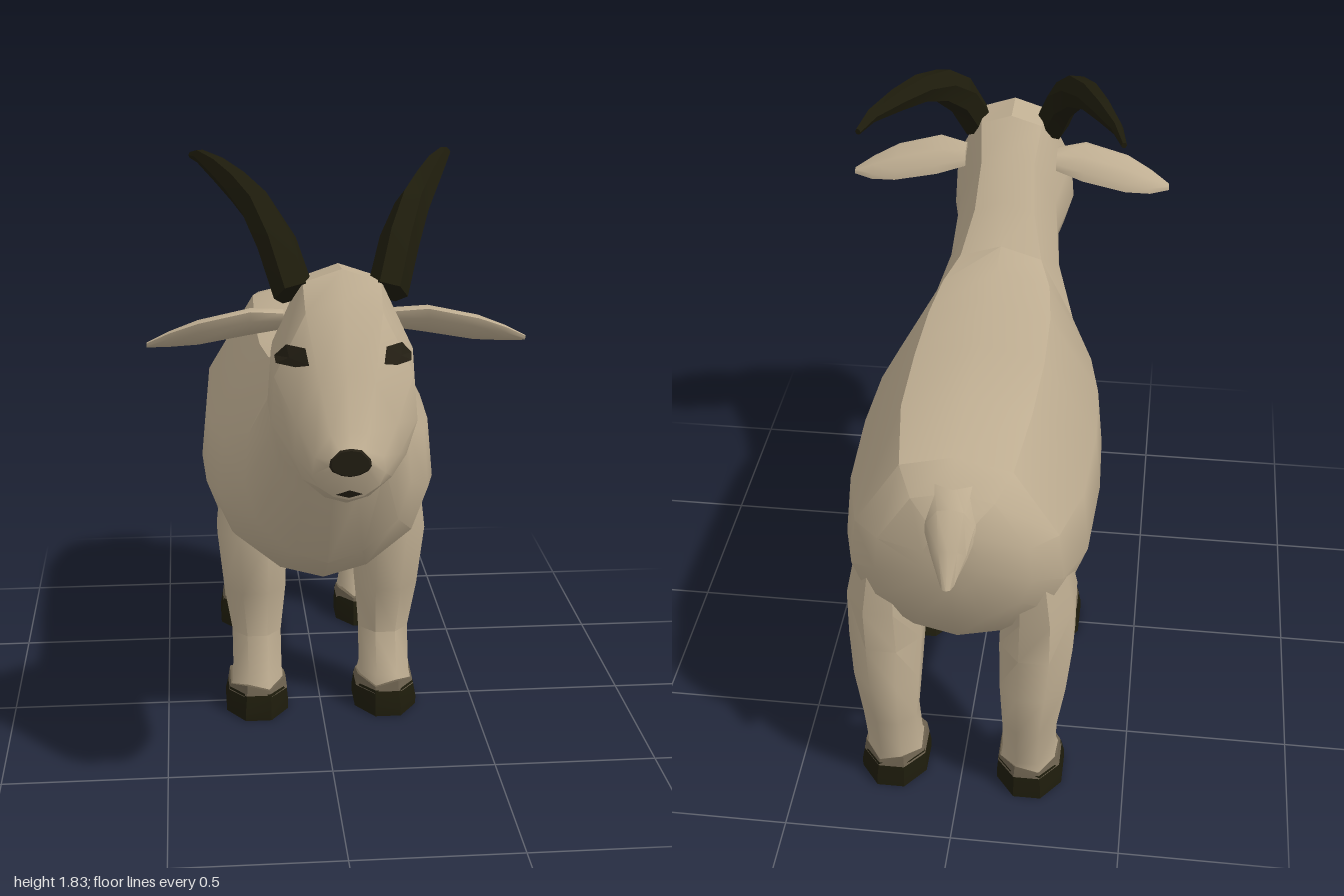
import * as THREE from 'three';
import { toCreasedNormals } from 'three/addons/utils/BufferGeometryUtils.js';

const V = (x, y, z) => new THREE.Vector3(x, y, z);

// Skin a list of equal-sized rings, cap the ends, and turn the faces outward
function loft(rings, crease = 0.6) {
  const n = rings[0].length, pos = [], idx = [];
  rings.forEach(r => r.forEach(p => pos.push(p.x, p.y, p.z)));
  for (let r = 0; r < rings.length - 1; r++) {
    for (let i = 0; i < n; i++) {
      const a = r * n + i, b = r * n + (i + 1) % n;
      idx.push(a, b, a + n, b, b + n, a + n);
    }
  }
  [0, rings.length - 1].forEach(r => {
    const c = V(0, 0, 0), m = pos.length / 3;
    rings[r].forEach(p => c.addScaledVector(p, 1 / n));
    pos.push(c.x, c.y, c.z);
    for (let i = 0; i < n; i++) {
      const a = r * n + i, b = r * n + (i + 1) % n;
      if (r === 0) idx.push(b, a, m); else idx.push(a, b, m);
    }
  });
  const at = i => V(pos[3 * i], pos[3 * i + 1], pos[3 * i + 2]);
  let volume = 0;
  for (let i = 0; i < idx.length; i += 3) {
    volume += at(idx[i]).dot(at(idx[i + 1]).cross(at(idx[i + 2])));
  }
  if (volume < 0) idx.reverse();
  const g = new THREE.BufferGeometry();
  g.setAttribute('position', new THREE.Float32BufferAttribute(pos, 3));
  g.setIndex(idx);
  return toCreasedNormals(g, crease);
}

// Half outline of the trunk: [share of half width, share of height from top]
const outline = [[0, 0], [0.52, 0.06], [0.95, 0.38], [1, 0.62], [0.85, 0.8], [0.42, 0.95], [0, 1]];

// Trunk ring from [top z, top y, bottom z, bottom y, half width]
function trunkRing([zt, yt, zb, yb, w]) {
  const point = (s, [u, t]) => V(s * u * w, yt + (yb - yt) * t, zt + (zb - zt) * t);
  return [...outline.map(o => point(1, o)), ...outline.slice(1, -1).reverse().map(o => point(-1, o))];
}

// Eight-sided leg ring from [y, front z, back z, inner x, outer x]
function legRing([y, zf, zb, xi, xo], side, jag = 0) {
  return Array.from({ length: 8 }, (_, i) => {
    const a = (i + 0.5) * Math.PI / 4, k = 0.5 / Math.cos(Math.PI / 8);
    return V(side * ((xi + xo) / 2 + (xo - xi) * k * Math.cos(a)), y + (i % 2 ? jag : -jag),
      (zf + zb) / 2 + (zf - zb) * k * Math.sin(a));
  });
}

// Ear ring: a tilted flat oval in a plane of constant x
function earRing([x, y, z, a, b], side) {
  return Array.from({ length: 8 }, (_, i) => {
    const c = a * Math.cos(i * Math.PI / 4), s = b * Math.sin(i * Math.PI / 4);
    return V(side * x, y + c * 0.55 + s * 0.83, z + c * 0.83 - s * 0.55);
  });
}

// Horn rings follow a path of [x, y, z, radius]
function hornRings(path, side) {
  const pts = path.map(p => V(side * p[0], p[1], p[2]));
  return pts.map((p, j) => {
    const t = pts[Math.min(j + 1, pts.length - 1)].clone().sub(pts[Math.max(j - 1, 0)]).normalize();
    const u = V(1, 0, 0).addScaledVector(t, -t.x).normalize(), v = t.clone().cross(u);
    return Array.from({ length: 6 }, (_, i) => {
      const a = i * Math.PI / 3, r = path[j][3];
      return p.clone().addScaledVector(u, r * Math.cos(a) * 0.85).addScaledVector(v, r * Math.sin(a));
    });
  });
}

// Thin painted patch: an outline dropped onto a surface along one direction
function patch(target, origins, dir) {
  const ray = new THREE.Raycaster(), pos = [];
  const centre = V(0, 0, 0);
  origins.forEach(o => centre.addScaledVector(o, 1 / origins.length));
  const drop = o => {
    ray.set(o, dir);
    const hit = ray.intersectObject(target)[0];
    return hit ? hit.point.clone().addScaledVector(hit.face.normal, 0.007) : null;
  };
  const c = drop(centre), ring = origins.map(drop);
  ring.forEach((p, i) => {
    const q = ring[(i + 1) % ring.length];
    if (p && q && c) [c, p, q].forEach(w => pos.push(w.x, w.y, w.z));
  });
  const g = new THREE.BufferGeometry();
  g.setAttribute('position', new THREE.Float32BufferAttribute(pos, 3));
  g.computeVertexNormals();
  return g;
}

const trunk = [
  [-0.91, 1.10, -0.905, 0.88, 0.08], [-0.85, 1.18, -0.86, 0.73, 0.22], [-0.77, 1.24, -0.79, 0.62, 0.30],
  [-0.55, 1.29, -0.58, 0.49, 0.355], [-0.25, 1.27, -0.25, 0.475, 0.37], [0, 1.265, 0, 0.47, 0.36],
  [0.18, 1.27, 0.14, 0.49, 0.325], [0.31, 1.285, 0.32, 0.61, 0.25], [0.41, 1.39, 0.44, 0.84, 0.185],
  [0.51, 1.51, 0.56, 1.06, 0.165], [0.61, 1.60, 0.67, 1.05, 0.19], [0.73, 1.61, 0.75, 1.04, 0.20],
  [0.80, 1.54, 0.83, 1.02, 0.195], [0.90, 1.37, 0.89, 1.015, 0.14], [0.965, 1.24, 0.95, 1.045, 0.095],
  [0.994, 1.20, 0.984, 1.12, 0.055],
];
const tail = [
  [-0.82, 1.20, -0.84, 1.02, 0.10], [-0.89, 1.155, -0.90, 1.03, 0.07],
  [-0.95, 1.06, -0.91, 1.0, 0.05], [-1.0, 0.965, -0.935, 0.96, 0.02],
];
const legs = {
  front: {
    leg: [[0.9, 0.1, -0.1, 0.14, 0.3], [0.62, 0.13, -0.1, 0.11, 0.33], [0.42, 0.1, -0.1, 0.115, 0.31],
      [0.26, 0.07, -0.1, 0.13, 0.285], [0.13, 0.12, -0.065, 0.13, 0.285], [0.08, 0.13, -0.08, 0.12, 0.295]],
    hoof: [[0.085, 0.14, -0.09, 0.115, 0.3], [0.03, 0.155, -0.12, 0.11, 0.31], [0, 0.155, -0.13, 0.11, 0.31]],
  },
  rear: {
    leg: [[0.95, -0.57, -0.8, 0.14, 0.28], [0.7, -0.52, -0.82, 0.12, 0.33], [0.55, -0.55, -0.81, 0.115, 0.33],
      [0.42, -0.62, -0.83, 0.12, 0.315], [0.27, -0.67, -0.82, 0.13, 0.29], [0.13, -0.62, -0.8, 0.13, 0.285],
      [0.08, -0.59, -0.8, 0.12, 0.295]],
    hoof: [[0.085, -0.58, -0.805, 0.115, 0.3], [0.03, -0.558, -0.813, 0.11, 0.31], [0, -0.555, -0.815, 0.11, 0.31]],
  },
};
const ear = [[0.15, 1.45, 0.62, 0.045, 0.025], [0.24, 1.445, 0.62, 0.075, 0.028], [0.38, 1.415, 0.61, 0.07, 0.026],
  [0.46, 1.395, 0.60, 0.045, 0.016], [0.52, 1.38, 0.60, 0.012, 0.006]];
const horn = [[0.125, 1.54, 0.70, 0.065], [0.165, 1.66, 0.62, 0.064], [0.21, 1.735, 0.52, 0.056], [0.26, 1.775, 0.40, 0.046],
  [0.31, 1.80, 0.25, 0.036], [0.36, 1.815, 0.10, 0.021], [0.385, 1.805, 0.01, 0.01]];
const eye = [[0.865, 1.385], [0.84, 1.425], [0.80, 1.425], [0.775, 1.39], [0.80, 1.375], [0.84, 1.375]];
const mouth = [[-0.035, 1.068], [0, 1.083], [0.035, 1.068], [0, 1.058]];

export function createModel() {
  const goat = new THREE.Group();
  goat.name = 'goat';
  const material = (name, color, side = THREE.FrontSide) => {
    const m = new THREE.MeshStandardMaterial({ color, side });
    m.name = name;
    return m;
  };
  const coat = material('tan coat', 0xbfae92);
  const dark = material('dark horn', 0x1e1c0c);
  const fringe = material('fetlock brown', 0x6e6350);
  const paint = material('face marking', 0x241f14, THREE.DoubleSide);
  const add = (name, geometry, mat) => {
    const mesh = new THREE.Mesh(geometry, mat);
    mesh.name = name;
    goat.add(mesh);
    return mesh;
  };

  // Trunk, neck and head in one skin, with the tail behind
  const body = add('body', loft(trunk.map(trunkRing)), coat);
  add('tail', loft(tail.map(trunkRing)), coat);

  // Nose pad and mouth
  const muzzle = trunkRing(trunk[trunk.length - 1]);
  add('nose', loft([muzzle, muzzle.map(p => V(p.x * 0.9, 1.16 + (p.y - 1.16) * 0.9, p.z + 0.006))]), paint);
  add('mouth', patch(body, mouth.map(([x, y]) => V(x, y, 2)), V(0, 0, -1)), paint);

  for (const side of [1, -1]) {
    const label = side > 0 ? 'left' : 'right';
    add(label + 'Horn', loft(hornRings(horn, side)), dark);
    add(label + 'Ear', loft(ear.map(e => earRing(e, side)), 1), coat);
    add(label + 'Eye', patch(body, eye.map(([z, y]) => V(side * 2, y, z)), V(-side, 0, 0)), paint);

    // Legs with a ragged fringe above each hoof
    for (const [end, { leg, hoof }] of Object.entries(legs)) {
      const part = label + (end === 'front' ? 'Front' : 'Rear');
      add(part + 'Leg', loft(leg.map(r => legRing(r, side)), 0.9), coat);
      const [, zf, zb, xi, xo] = hoof[0];
      const low = [0.075, zf + 0.002, zb - 0.002, xi - 0.002, xo + 0.002];
      const high = [0.105, zf - 0.004, zb + 0.004, xi + 0.004, xo - 0.004];
      add(part + 'Fetlock', loft([legRing(low, side), legRing(high, side, 0.01)]), fringe);
      add(part + 'Hoof', loft(hoof.map(r => legRing(r, side))), dark);
    }
  }
  return goat;
}
